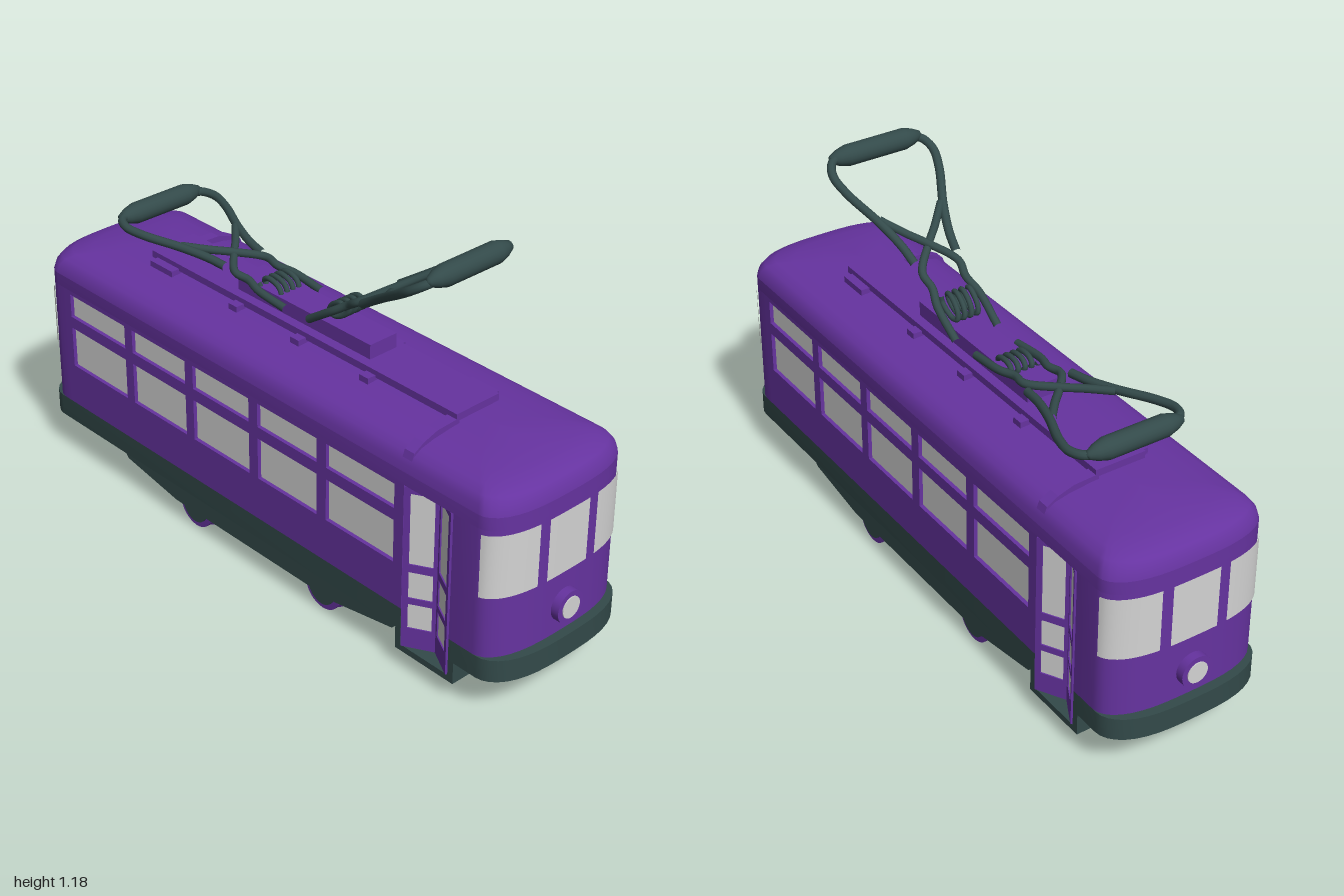
import * as THREE from 'three';
import { toCreasedNormals } from 'three/addons/utils/BufferGeometryUtils.js';

const mat = (name, color) => Object.assign(new THREE.MeshStandardMaterial({ color }), { name });
const purple = mat('purple paint', 0x6633a0);
const slate = mat('dark slate', 0x334a4a);
const glass = mat('pale glass', 0xd4d4d4);

const HW = 0.255;      // half width of the body
const DOOR = [-0.62, -0.8];

function add(parent, name, geometry, material, x = 0, y = 0, z = 0) {
  const mesh = new THREE.Mesh(geometry, material);
  mesh.name = name;
  mesh.position.set(x, y, z);
  parent.add(mesh);
  return mesh;
}
// Box given by its limits on each axis
function block(parent, name, material, [x0, x1], [y0, y1], [z0, z1]) {
  return add(parent, name, new THREE.BoxGeometry(Math.abs(x1 - x0), Math.abs(y1 - y0), Math.abs(z1 - z0)),
    material, (x0 + x1) / 2, (y0 + y1) / 2, (z0 + z1) / 2);
}
const poly = pts => new THREE.Shape(pts.map(p => new THREE.Vector2(p[0], p[1])));
const rect = (x0, x1, y0, y1) => poly([[x0, y0], [x1, y0], [x1, y1], [x0, y1]]);
const extrude = (shape, depth) => new THREE.ExtrudeGeometry(shape, { depth, bevelEnabled: false });

// Rounded end of the plan: z for a given x
const endZ = (x, start, bow) => start + bow * Math.sqrt(Math.max(0, 1 - Math.pow(Math.abs(x) / HW, 3)));

// Plan outline; 'side' holds the points along the +x side, repeated by a half turn
function plan(start, bow, side = []) {
  const xs = Array.from({ length: 11 }, (_, i) => HW * Math.sin(i / 10 * Math.PI / 2));
  const end = xs.map(x => [x, endZ(x, start, bow)]);
  const back = end.slice(1).reverse().map(([x, z]) => [x, -z]);
  const half = [...end, ...side, ...back];
  return [...half, ...half.map(([x, z]) => [-x, -z])];
}
function extrudePlan(pts, y0, y1) {
  const g = extrude(poly(pts.map(([x, z]) => [x, -z])), y1 - y0);
  g.rotateX(-Math.PI / 2).translate(0, y0, 0);
  return toCreasedNormals(g, 0.6);
}
// Skin through rings of equal point count
function loft(rings, closed) {
  const n = rings[0].length, index = [];
  for (let i = 0; i < rings.length - 1; i++) {
    for (let j = 0; j < (closed ? n : n - 1); j++) {
      const a = i * n + j, b = i * n + (j + 1) % n;
      index.push(a, b, b + n, a, b + n, a + n);
    }
  }
  const g = new THREE.BufferGeometry();
  g.setAttribute('position', new THREE.Float32BufferAttribute(rings.flat(2), 3));
  g.setIndex(index);
  g.computeVertexNormals();
  return g;
}

function makeShell(model) {
  const notch = inset => [[HW - inset, DOOR[0]], [HW - 0.08, DOOR[0]], [HW - 0.08, DOOR[1]], [HW, DOOR[1]]];
  add(model, 'skirt', extrudePlan(plan(0.9, 0.1, notch(0)), 0.13, 0.2), slate);
  const wall = [[HW, 0.85], [HW - 0.015, 0.85], ...notch(0.015)];
  add(model, 'bodyWalls', extrudePlan(plan(0.885, 0.087, wall), 0.2, 0.6), purple);
  const outline = plan(0.885, 0.087);
  add(model, 'upperWall', extrudePlan(outline, 0.6, 0.64), purple);
  const layers = [[0, 0.64], [0.006, 0.665], [0.02, 0.685], [0.045, 0.7], [0.09, 0.71], [0.16, 0.718], [0.254, 0.722]];
  add(model, 'roof', loft(layers.map(([d, y]) =>
    outline.map(([x, z]) => [x * (HW - d) / HW, y, z * (0.972 - d) / 0.972])), true), purple);
  // Roof boards and underfloor
  block(model, 'roofBoard', purple, [-0.08, 0.08], [0.728, 0.75], [-0.635, 0.635]);
  block(model, 'collectorBase', purple, [-0.05, 0.05], [0.75, 0.795], [-0.275, 0.275]);
  const floor = extrude(poly([[-0.6, 0.131], [-0.42, 0.085], [0.42, 0.085], [0.6, 0.131]]), 0.3);
  add(model, 'underfloor', floor.rotateY(Math.PI / 2), slate, -0.15);
}

function makeDoor(half) {
  const door = new THREE.Group();
  door.name = 'foldingDoor';
  const inX = HW - 0.055, outX = HW - 0.005, len = Math.hypot(0.05, 0.09);
  for (const [x, z, dx] of [[outX, -0.62, -0.05], [inX, -0.71, 0.05]]) {
    const leaf = new THREE.Group();
    leaf.name = 'doorLeaf';
    leaf.position.set(x, 0, z);
    leaf.rotation.y = Math.atan2(0.09, dx);
    const shape = rect(0, len, 0.08, 0.6);
    for (const [y0, y1] of [[0.145, 0.225], [0.245, 0.33], [0.355, 0.58]]) shape.holes.push(rect(0.017, 0.086, y0, y1));
    add(leaf, 'doorFrame', extrude(shape, 0.01), purple);
    block(leaf, 'doorGlass', glass, [0.012, 0.091], [0.14, 0.585], [0.002, 0.006]);
    door.add(leaf);
  }
  // Step well below the door
  block(door, 'step', slate, [0.175, HW], [0.06, 0.08], [-0.6, -0.82]);
  block(door, 'stepBack', slate, [0.17, 0.18], [0.06, 0.135], [-0.6, -0.82]);
  block(door, 'stepEnd', slate, [0.175, HW], [0.08, 0.131], [-0.6, -0.62]);
  block(door, 'stepEnd', slate, [0.175, HW], [0.08, 0.131], [-0.8, -0.82]);
  half.add(door);
}

// Everything that occurs twice under a half turn: +x side and +z end
function makeHalf() {
  const half = new THREE.Group();
  // Side wall with two rows of window openings
  const side = rect(-0.85, 0.62, 0.2, 0.6);
  for (const [a, b] of [[0.825, 0.56], [0.525, 0.28], [0.245, 0], [-0.037, -0.283], [-0.32, -0.585]]) {
    for (const [y0, y1] of [[0.338, 0.472], [0.51, 0.587]]) side.holes.push(rect(-a, -b, y0, y1));
  }
  add(half, 'sideWall', extrude(side, 0.015).rotateY(Math.PI / 2), purple, HW - 0.015);
  block(half, 'sideGlass', glass, [0.239, 0.243], [0.33, 0.592], [-0.595, 0.835]);
  makeDoor(half);

  // Curved end windows
  for (const [x0, x1] of [[-0.2535, -0.108], [-0.075, 0.075], [0.108, 0.2535]]) {
    const t0 = Math.asin(x0 / HW), t1 = Math.asin(x1 / HW);
    const row = y => Array.from({ length: 13 }, (_, i) => {
      const x = HW * Math.sin(t0 + (t1 - t0) * i / 12);
      return [x * 1.014, y, endZ(x, 0.885, 0.087) + 0.003];
    });
    add(half, 'endWindow', loft([row(0.392), row(0.587)], false), glass);
  }
  // Headlight
  const disc = (r, d) => new THREE.CylinderGeometry(r, r, d, 32).rotateX(Math.PI / 2);
  add(half, 'headlightRim', disc(0.05, 0.05), purple, 0, 0.285, 0.972);
  add(half, 'headlightLens', disc(0.033, 0.006), glass, 0, 0.285, 0.997);

  // Wheels with flange and hub
  const wheel = (r, d) => new THREE.CylinderGeometry(r, r, d, 32).rotateZ(Math.PI / 2);
  for (const z of [-0.28, 0.28]) {
    add(half, 'wheel', wheel(0.07, 0.035), purple, 0.212, 0.075, z);
    add(half, 'wheelFlange', wheel(0.075, 0.01), purple, 0.192, 0.075, z);
    add(half, 'wheelHub', wheel(0.052, 0.01), slate, 0.231, 0.075, z);
  }
  const truss = extrude(poly([[-0.6, 0.131], [-0.58, 0.11], [-0.35, 0.07], [0.35, 0.07], [0.58, 0.11], [0.6, 0.131]]), 0.014);
  add(half, 'sideTruss', truss.rotateY(Math.PI / 2), slate, 0.234);

  // Roof brackets and cable duct
  for (const [z, w] of [[-0.31, 0.035], [-0.03, 0.035], [0.235, 0.035], [0.56, 0.1]]) {
    block(half, 'roofBracket', purple, [0.06, 0.108], [0.705, 0.735], [z - w / 2, z + w / 2]);
  }
  const duct = poly([[0.07, 0.735], [0.15, 0.731], [0.2, 0.715], [0.235, 0.695], [0.245, 0.668],
    [0.235, 0.66], [0.19, 0.68], [0.07, 0.7]]);
  add(half, 'roofDuct', extrude(duct, 0.035), purple, 0, 0, -0.635);
  return half;
}

// Loop collector lying along +z, base at the origin
function makeCollector() {
  const group = new THREE.Group();
  group.name = 'currentCollector';
  const L = 0.645;
  const tube = (name, pts, r) => add(group, name, new THREE.TubeGeometry(
    new THREE.CatmullRomCurve3(pts.map(p => new THREE.Vector3(...p))), pts.length * 6, r, 10), slate);
  for (const s of [-1, 1]) {
    const path = pts => pts.map(([x, u]) => [s * x, s * 0.004, u * L]);
    tube('outerArm', path([[0.1, 1], [0.15, 0.985], [0.17, 0.92], [0.158, 0.82], [0.11, 0.64], [0.082, 0.5], [0.072, 0.4]]), 0.013);
    tube('crossedArm', path([[0.105, 0.65], [0.05, 0.55], [0, 0.47], [-0.06, 0.35], [-0.055, 0.27], [-0.069, 0.18], [-0.069, 0]]), 0.012);
  }
  const bar = [[0, -0.155], [0.012, -0.15], [0.024, -0.125], [0.032, -0.095], [0.032, 0.095], [0.024, 0.125], [0.012, 0.15], [0, 0.155]];
  add(group, 'contactBar', new THREE.LatheGeometry(bar.map(p => new THREE.Vector2(...p)), 20).rotateZ(Math.PI / 2), slate, 0, 0, L);
  // Coil spring between the arms
  const coil = Array.from({ length: 33 }, (_, i) => {
    const a = i / 32 * Math.PI * 8;
    return [-0.045 + 0.09 * i / 32, 0.02 * Math.sin(a), 0.1 + 0.042 * Math.cos(a)];
  });
  tube('spring', coil, 0.008);
  return group;
}

export function createModel() {
  const model = new THREE.Group();
  model.name = 'tram';
  makeShell(model);
  for (const [name, turn] of [['leftSideAndFront', 0], ['rightSideAndBack', Math.PI]]) {
    const half = makeHalf();
    half.name = name;
    half.rotation.y = turn;
    model.add(half);
  }
  // Front collector raised, rear one lowered
  for (const [s, lift] of [[1, 0.592], [-1, 0.11]]) {
    const collector = makeCollector();
    collector.position.set(0, 0.787, s * 0.05);
    collector.rotation.set(-lift, s > 0 ? 0 : Math.PI, 0, 'YXZ');
    model.add(collector);
  }
  return model;
}
